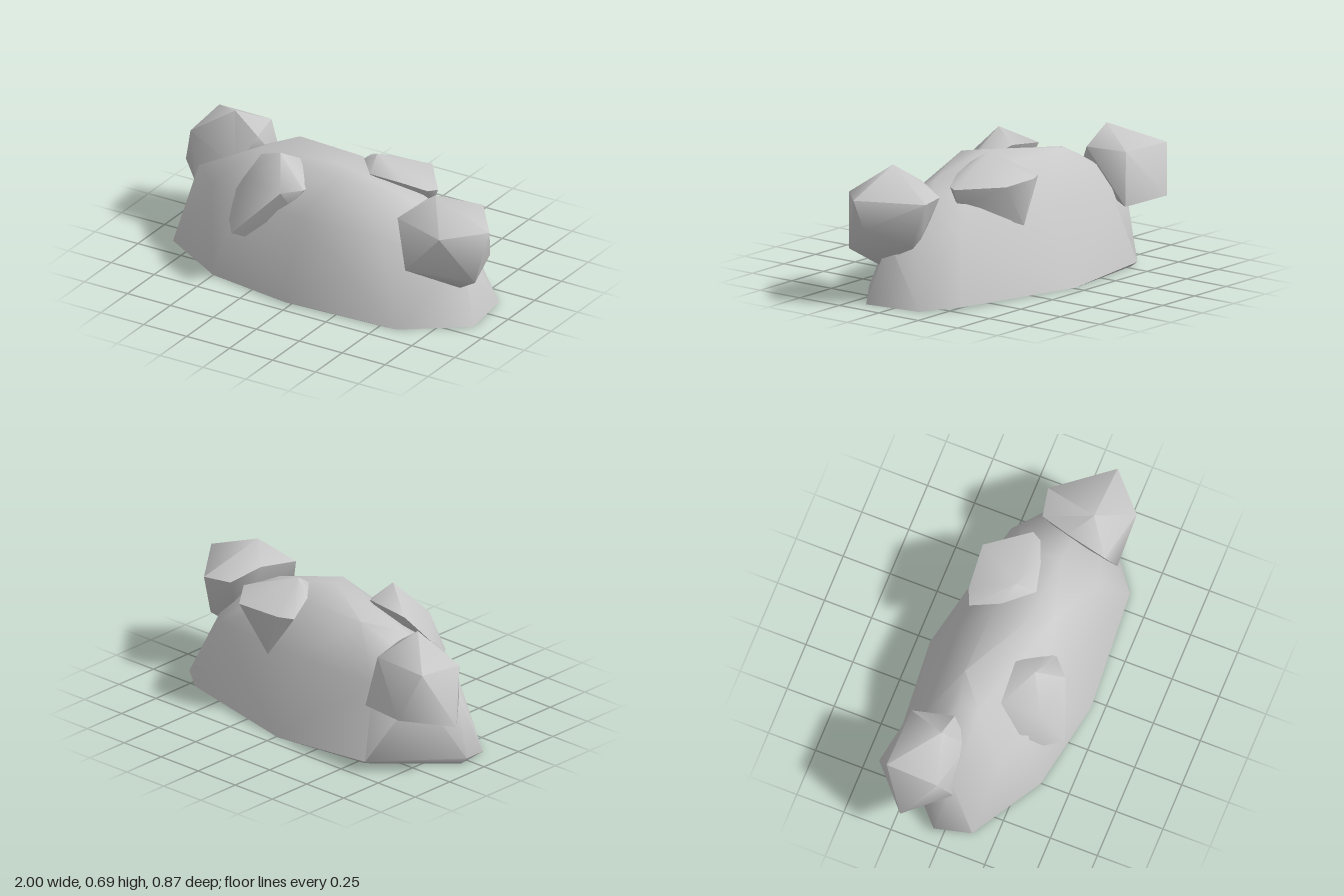
import * as THREE from 'three';
import { ConvexGeometry } from 'three/addons/geometries/ConvexGeometry.js';
import { toCreasedNormals } from 'three/addons/utils/BufferGeometryUtils.js';

const stone = new THREE.MeshStandardMaterial({ color: 0xc8c8c8 });
stone.name = 'grey stone';

// A faceted stone wrapped around its corner points, softly shaded
function rock(name, corners) {
  const hull = new ConvexGeometry(corners.map((p) => new THREE.Vector3(...p)));
  const mesh = new THREE.Mesh(toCreasedNormals(hull, 1.12), stone);
  mesh.name = name;
  return mesh;
}

export function createModel() {
  const group = new THREE.Group();
  group.name = 'rockMound';

  // Long mound: ground outline, shoulder ring, crown
  group.add(rock('mound', [
    [-0.89, 0, -0.05], [-0.93, 0.04, -0.05], [-0.87, 0, 0.13], [-0.5, 0, 0.35], [-0.04, 0.01, 0.435],
    [-0.04, 0, 0.42], [0.59, 0, 0.39], [0.9, 0, 0.16], [0.86, 0, -0.14],
    [0.69, 0.012, -0.28], [-0.01, 0, -0.435], [-0.56, 0.02, -0.39], [-0.54, 0, -0.37],
    [-0.8, 0.38, 0], [-0.62, 0.4, 0.18], [-0.4, 0.42, 0.27], [0, 0.43, 0.33], [0.45, 0.42, 0.29],
    [0.8, 0.32, 0.1], [0.75, 0.32, -0.03], [0.6, 0.36, -0.2], [0, 0.38, -0.28],
    [-0.5, 0.38, -0.27], [-0.72, 0.38, -0.18],
    [-0.45, 0.57, 0], [-0.45, 0.55, -0.1], [-0.295, 0.615, -0.135], [0.07, 0.645, 0.07],
    [0.07, 0.61, -0.12], [0.12, 0.63, 0.18], [0.45, 0.565, 0.08], [0.42, 0.53, -0.1],
    [0.57, 0.51, 0.02],
  ]));

  // Boulders resting in the mound
  group.add(rock('leftEndBoulder', [
    [0.995, 0.545, 0.165], [0.68, 0.67, 0.165], [0.78, 0.525, -0.12], [0.53, 0.555, 0.28],
    [0.81, 0.53, 0.34], [0.81, 0.185, 0.145], [0.95, 0.285, 0.23], [0.97, 0.4, 0.12],
    [0.6, 0.3, 0.32], [0.67, 0.23, 0.03], [0.73, 0.21, 0.11], [0.8, 0.305, -0.05],
    [0.76, 0.39, -0.095], [0.63, 0.53, -0.09], [0.57, 0.58, 0.07],
  ]));

  group.add(rock('rightEndBoulder', [
    [-1, 0.28, -0.2], [-0.79, 0.315, -0.395], [-0.88, 0.56, -0.32], [-0.66, 0.67, -0.115],
    [-0.57, 0.565, -0.31], [-0.52, 0.3, -0.345], [-0.52, 0.57, -0.1], [-0.82, 0.3, 0.01],
    [-0.59, 0.42, 0], [-0.85, 0.24, -0.15], [-0.88, 0.53, -0.05],
  ]));

  group.add(rock('backBoulder', [
    [0.2, 0.68, -0.06], [0.37, 0.565, -0.305], [0.05, 0.56, -0.25], [0.13, 0.56, -0.285],
    [0.53, 0.55, -0.1], [0.22, 0.615, 0.04], [0.38, 0.59, 0], [0.5, 0.555, -0.05],
    [0.2, 0.335, -0.28], [0.5, 0.46, -0.1], [0.2, 0.4, -0.2], [0.1, 0.61, -0.1],
  ]));

  group.add(rock('frontBoulder', [
    [-0.2, 0.69, 0.2], [-0.38, 0.59, 0.09], [-0.45, 0.43, 0.22], [-0.42, 0.32, 0.33],
    [-0.35, 0.3, 0.42], [-0.31, 0.265, 0.36], [-0.12, 0.54, 0.33], [-0.035, 0.545, 0.25],
    [-0.035, 0.54, 0.19], [-0.1, 0.45, 0.27], [-0.16, 0.62, 0.08], [-0.3, 0.4, 0.15],
    [-0.36, 0.55, 0.29],
  ]));

  return group;
}
